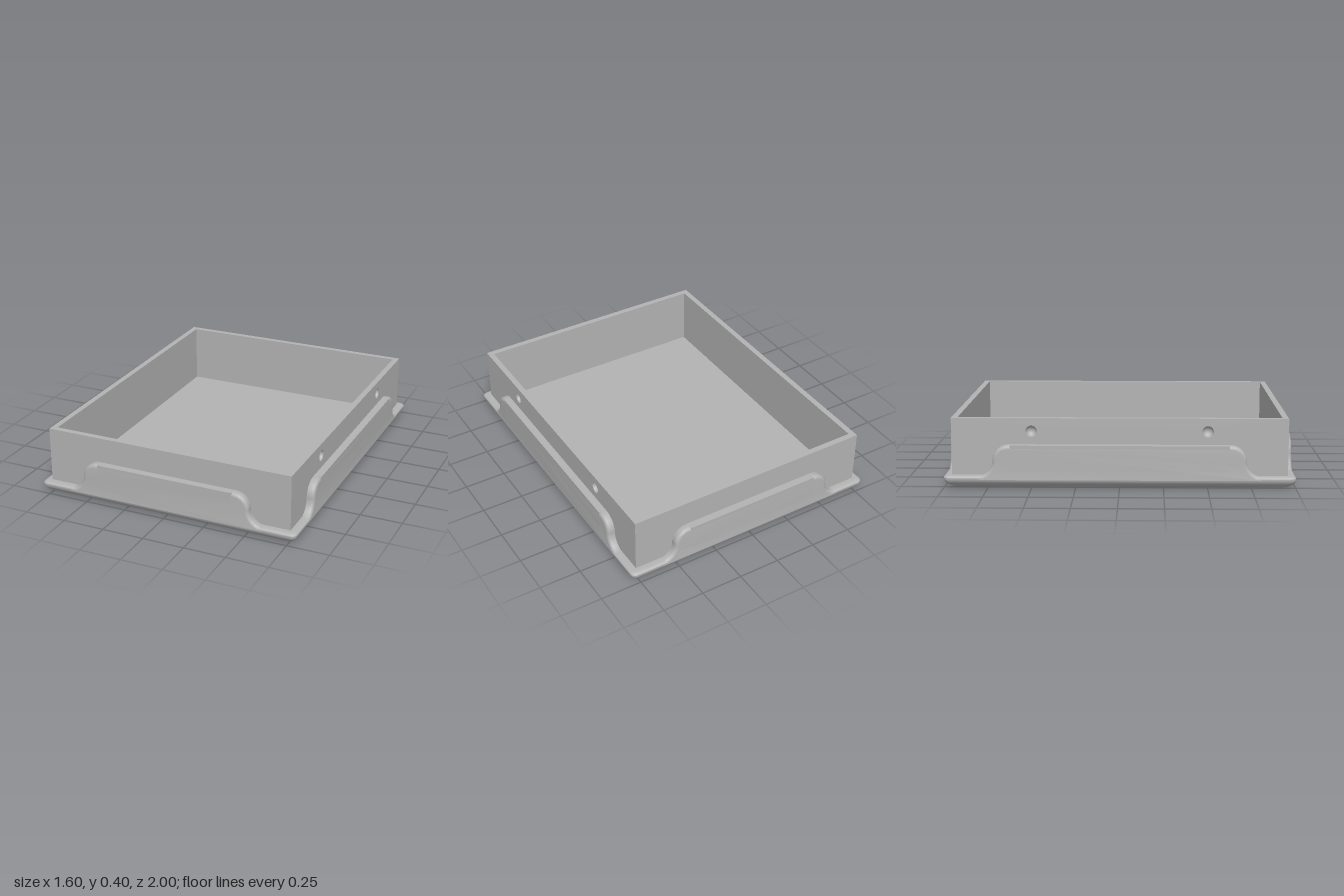
import * as THREE from 'three';
import { toCreasedNormals } from 'three/addons/utils/BufferGeometryUtils.js';

const HX = 0.8, HZ = 1;            // half size of the base
const WX = 0.755, WZ = 0.955;      // half size of the box walls
const TOP = 0.4, FLOOR = 0.04, WALL = 0.035, PANEL_TOP = 0.25, LIP = 0.073;

// Rounded rectangle in the xz plane, inset from the base outline
function ring(inset, y) {
  const pts = [], r = 0.03, n = 6;
  [[1, 1], [-1, 1], [-1, -1], [1, -1]].forEach(([sx, sz], q) => {
    for (let i = 0; i <= n; i++) {
      const a = (q + i / n) * Math.PI / 2;
      pts.push([sx * (HX - inset - r) + r * Math.cos(a), y, sz * (HZ - inset - r) + r * Math.sin(a)]);
    }
  });
  return pts;
}

// Base skin: flat bottom, rounded lower edge, small rounded lip, open in the middle
function baseGeometry() {
  const rings = [], n = 10;
  for (let i = 0; i <= n; i++) {
    const a = i / n * Math.PI / 2;
    rings.push(ring(0.08 * (1 - Math.sin(a)), 0.06 * (1 - Math.cos(a))));
  }
  for (let i = 1; i <= 6; i++) {
    const a = i / 6 * Math.PI / 2;
    rings.push(ring(0.025 * (1 - Math.cos(a)), 0.06 + (LIP - 0.06) * Math.sin(a)));
  }
  rings.push(ring(0.06, LIP));
  const count = rings[0].length, index = [];
  const positions = [0, 0, 0, ...rings.flat(2)];
  const id = (j, k) => 1 + j * count + k % count;
  for (let k = 0; k < count; k++) {
    index.push(0, id(0, k), id(0, k + 1));
    for (let j = 0; j < rings.length - 1; j++) {
      index.push(id(j, k), id(j + 1, k), id(j, k + 1));
      index.push(id(j, k + 1), id(j + 1, k), id(j + 1, k + 1));
    }
  }
  const g = new THREE.BufferGeometry();
  g.setAttribute('position', new THREE.Float32BufferAttribute(positions, 3));
  g.setIndex(index);
  return toCreasedNormals(g, 0.6);
}

// Raised panel whose ends sweep down to the lip in an S of two quarter arcs
function panelGeometry(mid) {
  const r = 0.09, yc = 0.16, s = new THREE.Shape();
  s.moveTo(-mid - r, 0.04);
  s.lineTo(mid + r, 0.04);
  s.lineTo(mid + r, yc - r);
  s.absarc(mid + r, yc, r, Math.PI * 1.5, Math.PI, true);
  s.absarc(mid - r, yc, r, 0, Math.PI / 2, false);
  s.lineTo(-mid + r, PANEL_TOP);
  s.absarc(-mid + r, yc, r, Math.PI / 2, Math.PI, false);
  s.absarc(-mid - r, yc, r, 0, -Math.PI / 2, true);
  s.closePath();
  const g = new THREE.ExtrudeGeometry(s, {
    depth: 0.03, bevelThickness: 0.02, bevelSize: 0.02, bevelOffset: -0.02, bevelSegments: 5, curveSegments: 14,
  });
  return toCreasedNormals(g, 0.6);
}

// Upright wall, with round openings where given
function wallGeometry(half, depth, holes) {
  const s = new THREE.Shape();
  s.moveTo(-half, 0.03);
  s.lineTo(half, 0.03);
  s.lineTo(half, TOP);
  s.lineTo(-half, TOP);
  s.closePath();
  for (const [u, v, r] of holes) s.holes.push(new THREE.Path().absarc(u, v, r, 0, Math.PI * 2, true));
  return new THREE.ExtrudeGeometry(s, { depth, bevelEnabled: false, curveSegments: 24 });
}

export function createModel() {
  const model = new THREE.Group();
  model.name = 'tray';
  const grey = new THREE.MeshStandardMaterial({ color: 0xb3b3b3, side: THREE.DoubleSide });
  grey.name = 'grey';

  const add = (parent, name, geometry, x = 0, y = 0, z = 0) => {
    const mesh = new THREE.Mesh(geometry, grey);
    mesh.name = name;
    mesh.position.set(x, y, z);
    parent.add(mesh);
    return mesh;
  };

  add(model, 'base', baseGeometry());
  add(model, 'floor', new THREE.BoxGeometry(2 * WX - 0.03, 0.03, 2 * WZ - 0.03), 0, FLOOR - 0.015, 0);

  // Four faces, each built facing +z and turned into place
  const R = 0.032, dimples = [-0.5, 0.5].map((u) => [u, 0.325, R]);
  ['front', 'left', 'back', 'right'].forEach((name, i) => {
    const isSide = i % 2 === 1;
    const face = new THREE.Group();
    face.name = name + 'Face';
    face.rotation.y = i * Math.PI / 2;
    model.add(face);

    const wallAt = isSide ? WX : WZ, half = isSide ? WZ : WX;
    const outer = isSide ? HX : HZ, mid = isSide ? 0.72 : 0.52;
    const skin = isSide ? 0.001 : 0;

    add(face, 'wall', wallGeometry(half, WALL - skin, isSide ? dimples : []), 0, 0, wallAt - WALL + skin);
    add(face, 'panel', panelGeometry(mid), 0, 0, outer - 0.05);
    // Crisp straight top edge of the panel
    add(face, 'panelTop', new THREE.BoxGeometry(2 * (mid - 0.1), 0.15, 0.06), 0, PANEL_TOP - 0.075, outer - 0.03);

    if (isSide) {
      // Lining that closes the wall behind the dimples
      add(face, 'lining', new THREE.BoxGeometry(2 * half - 0.01, TOP - 0.03, skin), 0, (TOP + 0.03) / 2, wallAt - WALL + skin / 2);
      for (const [u, v] of dimples) {
        const cup = add(face, 'dimple', new THREE.SphereGeometry(R, 24, 10, 0, Math.PI * 2, 0, Math.PI / 2), u, v, wallAt);
        cup.rotation.x = -Math.PI / 2;
      }
    }
  });
  return model;
}
